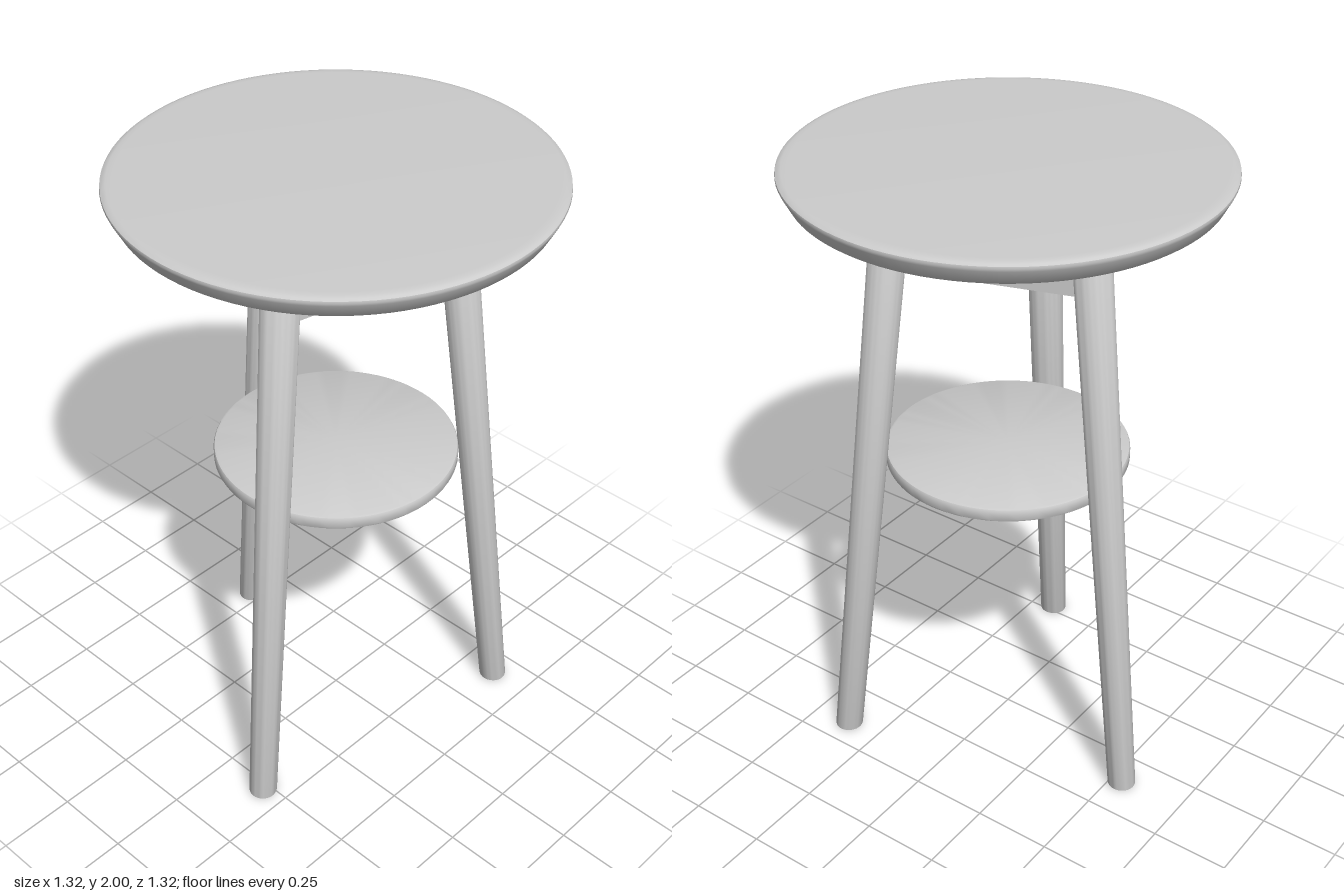
import * as THREE from 'three';
import { toCreasedNormals } from 'three/addons/utils/BufferGeometryUtils.js';

const material = new THREE.MeshStandardMaterial({ color: 0xcccccc });

function add(parent, name, geometry) {
  const mesh = new THREE.Mesh(geometry, material);
  mesh.name = name;
  parent.add(mesh);
  return mesh;
}

// Turned solid from a [radius, y] profile, listed bottom to top
function turned(profile, segments) {
  const points = profile.map(([r, y]) => new THREE.Vector2(r, y));
  return toCreasedNormals(new THREE.LatheGeometry(points, segments), 0.7);
}

const LEG_TOP = 1.935;
const FOOT_R = 0.55; // leg distance from the axis at the floor
const HEAD_R = 0.335; // and under the seat
const legReach = (y) => FOOT_R + (HEAD_R - FOOT_R) * (y / LEG_TOP);

// Tapered leg, sheared outward so both ends stay level
function legGeometry() {
  const g = turned([
    [0, 0], [0.041, 0], [0.044, 0.002], [0.045, 0.006],
    [0.058, LEG_TOP - 0.004], [0.056, LEG_TOP], [0, LEG_TOP],
  ], 40);
  g.applyMatrix4(new THREE.Matrix4().set(
    1, (HEAD_R - FOOT_R) / LEG_TOP, 0, FOOT_R,
    0, 1, 0, 0,
    0, 0, 1, 0,
    0, 0, 0, 1));
  return g;
}

export function createModel() {
  const stool = new THREE.Group();
  stool.name = 'stool';

  // Round seat with a soft top edge and an undercut rim
  add(stool, 'seat', turned([
    [0, 1.925], [0.615, 1.925], [0.626, 1.927], [0.634, 1.933], [0.656, 1.975],
    [0.66, 1.984], [0.659, 1.991], [0.653, 1.996], [0.642, 1.999], [0.625, 2], [0, 2],
  ], 96));

  // Round shelf held between the legs
  add(stool, 'shelf', turned([
    [0, 1.01], [0.372, 1.01], [0.379, 1.013], [0.382, 1.019],
    [0.382, 1.046], [0.379, 1.052], [0.372, 1.055], [0, 1.055],
  ], 80));

  // Three splayed legs, each joined to the next by an apron rail
  const leg = legGeometry();
  const railReach = legReach(1.81);
  const rail = new THREE.BoxGeometry(0.04, 0.215, railReach * Math.sqrt(3));
  for (let i = 0; i < 3; i++) {
    const angle = THREE.MathUtils.degToRad(-42 + i * 120);
    add(stool, 'leg', leg).rotation.y = angle;

    const side = new THREE.Group();
    side.name = 'apron';
    side.rotation.y = angle + Math.PI / 3;
    add(side, 'apronRail', rail).position.set(railReach / 2, 1.8075, 0);
    stool.add(side);
  }
  return stool;
}
